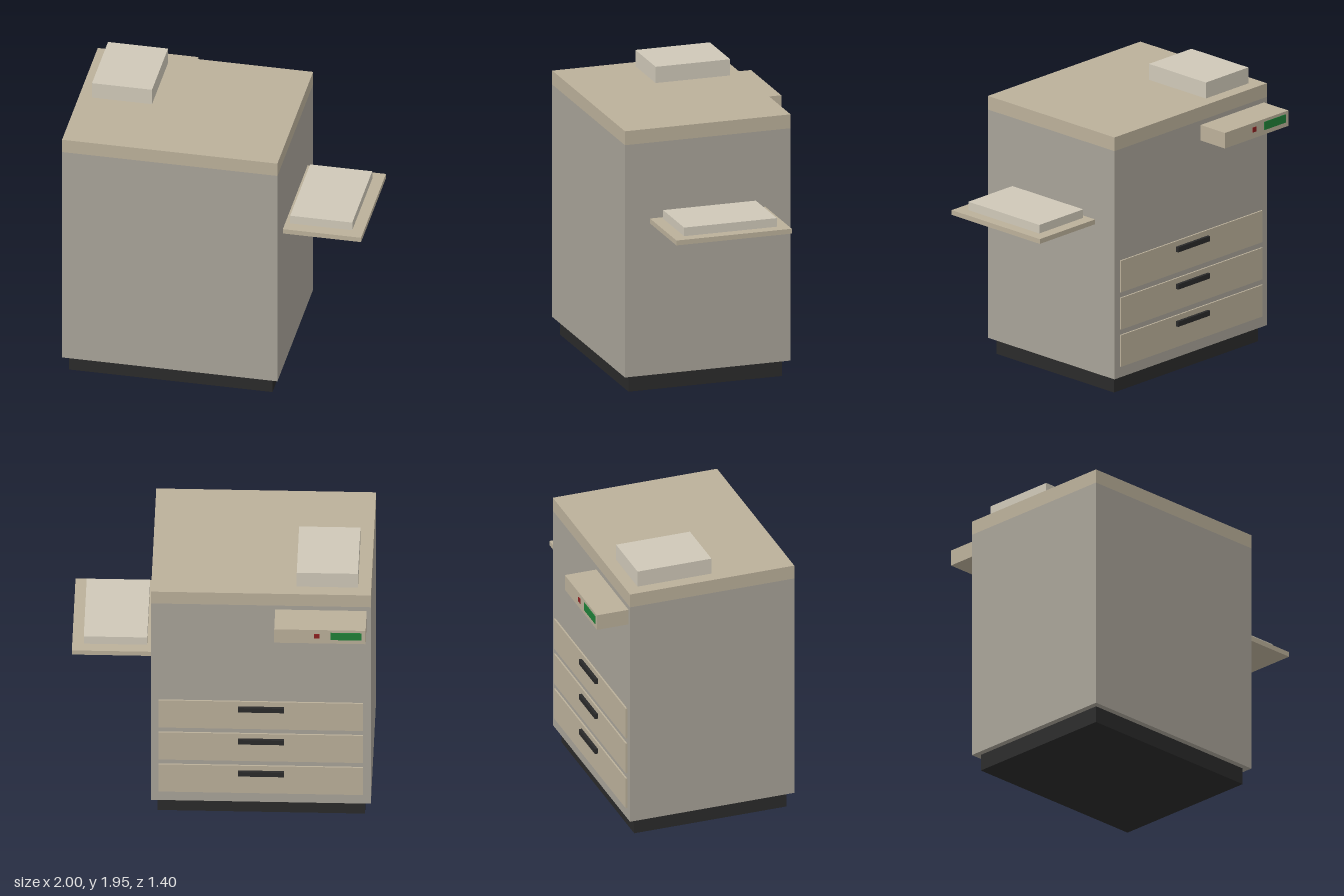
import * as THREE from 'three';

export function createModel() {
  const model = new THREE.Group();
  model.name = 'photocopier';

  const mat = (color) => new THREE.MeshStandardMaterial({ color });
  const grey = mat(0xa8a398);
  const beige = mat(0xbbb09a);
  const cream = mat(0xcfc8b8);
  const black = mat(0x2a2a2a);
  const green = mat(0x1f8038);
  const red = mat(0x8c2020);

  // Box given by its extents along each axis
  function box(name, material, [x0, x1], [y0, y1], [z0, z1], parent = model) {
    const mesh = new THREE.Mesh(new THREE.BoxGeometry(x1 - x0, y1 - y0, z1 - z0), material);
    mesh.position.set((x0 + x1) / 2, (y0 + y1) / 2, (z0 + z1) / 2);
    mesh.name = name;
    parent.add(mesh);
    return mesh;
  }

  // Cabinet
  box('base', black, [-0.96, 0.425], [0, 0.115], [-0.425, 0.66]);
  box('body', grey, [-1, 0.467], [0.115, 1.735], [-0.47, 0.7]);
  box('lid', beige, [-1, 0.467], [1.735, 1.832], [-0.47, 0.7]);
  box('documentFeeder', cream, [-0.912, -0.503], [1.832, 1.945], [-0.383, 0.143]);

  // Output tray with paper stack
  box('outputTray', beige, [0.467, 1], [1.172, 1.206], [-0.292, 0.523]);
  box('paperStack', cream, [0.5, 0.923], [1.206, 1.266], [-0.213, 0.442]);

  // Control panel with display and button
  const panel = new THREE.Group();
  panel.name = 'controlPanel';
  model.add(panel);
  box('panelHousing', beige, [-0.972, -0.362], [1.593, 1.703], [-0.695, -0.47], panel);
  box('display', green, [-0.945, -0.738], [1.625, 1.683], [-0.699, -0.693], panel);
  box('button', red, [-0.664, -0.626], [1.637, 1.671], [-0.699, -0.693], panel);

  // Paper drawers with handles
  for (let i = 0; i < 3; i++) {
    const y = 0.305 + i * 0.264;
    const drawer = new THREE.Group();
    drawer.name = 'drawer' + (i + 1);
    model.add(drawer);
    box('drawerFront', beige, [-0.948, 0.415], [y - 0.112, y + 0.112], [-0.481, -0.468], drawer);
    box('drawerHandle', black, [-0.42, -0.114], [y + 0.038, y + 0.074], [-0.502, -0.479], drawer);
  }

  return model;
}
